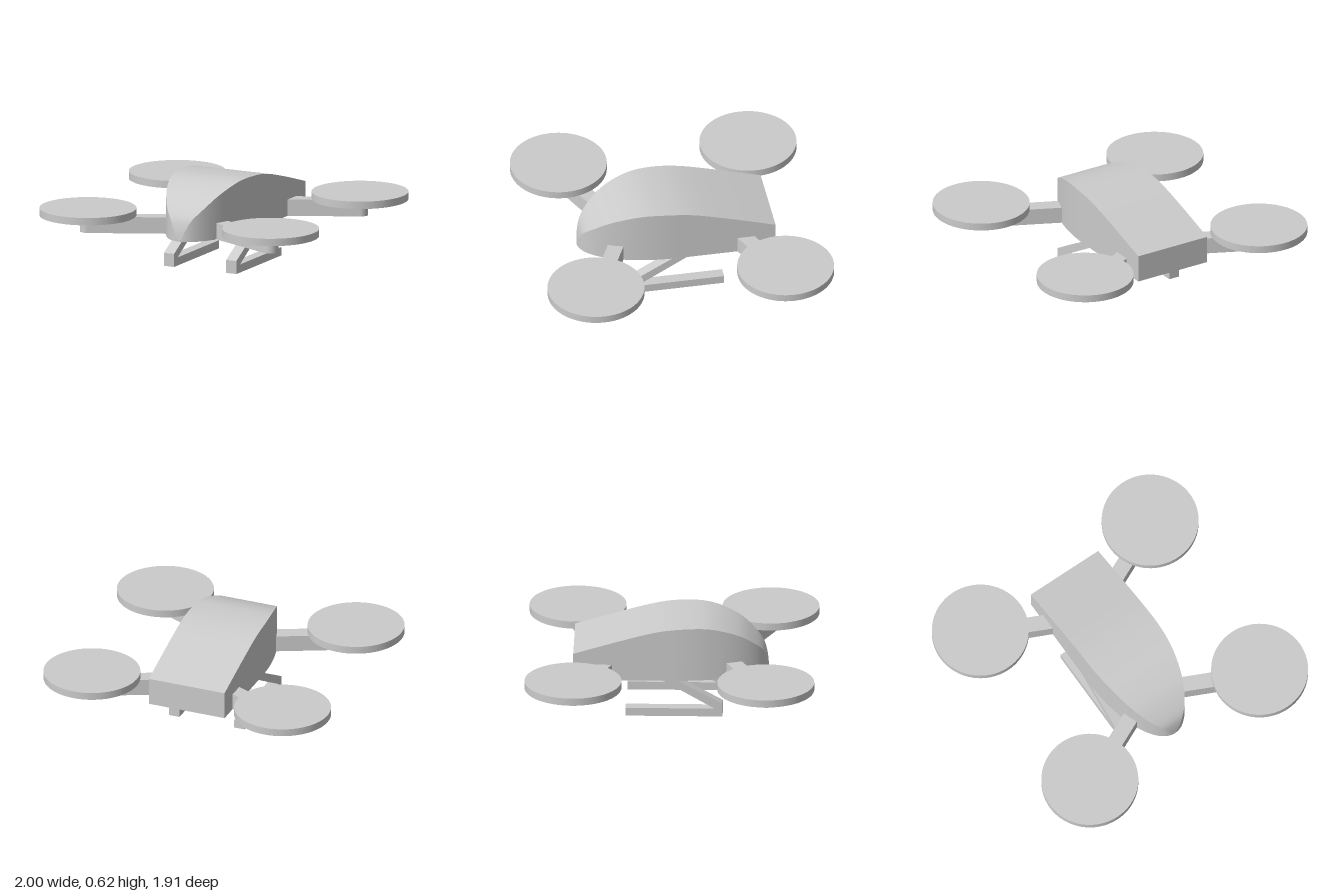
import * as THREE from 'three';

const BASE = 0.25, ARM_TOP = 0.36, NOSE = 0.64, HALF = 0.27;

export function createModel() {
  const model = new THREE.Group();
  const mat = new THREE.MeshStandardMaterial({ color: 0xcccccc, side: THREE.DoubleSide });
  const add = (name, geo, x = 0, y = 0, z = 0) => {
    const mesh = new THREE.Mesh(geo, mat);
    mesh.name = name;
    mesh.position.set(x, y, z);
    model.add(mesh);
    return mesh;
  };

  // Fuselage: flat floor, arched roof line (z, y), elliptical plan at the nose
  const roof = new THREE.SplineCurve([
    [-0.645, 0.435], [-0.33, 0.53], [-0.07, 0.597], [0.14, 0.615], [0.29, 0.6],
    [0.44, 0.545], [0.54, 0.475], [0.605, 0.405], [0.63, 0.335], [NOSE, 0.26],
  ].map(([z, y]) => new THREE.Vector2(z, y)));
  const segs = 72;
  const line = roof.getPoints(segs);
  const body = new THREE.BoxGeometry(2, 1, segs, 1, 1, segs);
  const p = body.attributes.position;
  for (let i = 0; i < p.count; i++) {
    const { x: zr, y: top } = line[Math.round(p.getZ(i) + segs / 2)];
    const z = Math.min(zr, NOSE);
    const c = z > 0 ? Math.sqrt(Math.max(0, 1 - (z / NOSE) ** 2)) : 1;
    p.setXYZ(i, p.getX(i) * Math.max(HALF * c, 0.002), p.getY(i) > 0 ? top : BASE, z);
  }
  body.computeVertexNormals();
  add('fuselage', body);

  // Arm: bar with a rounded outer end, origin at the end's centre, running along -x
  const armShape = new THREE.Shape();
  const r = 0.052, len = 0.62;
  armShape.moveTo(-len, -r);
  armShape.lineTo(0, -r);
  armShape.absarc(0, 0, r, -Math.PI / 2, Math.PI / 2, false);
  armShape.lineTo(-len, r);
  armShape.closePath();
  const arm = new THREE.ExtrudeGeometry(armShape, {
    depth: ARM_TOP - BASE, bevelEnabled: false, curveSegments: 16,
  });
  arm.rotateX(-Math.PI / 2);
  const rotor = new THREE.CylinderGeometry(0.32, 0.32, 0.05, 64);

  // Landing skid profile (z, y): ground rail with a slanted strut
  const skid = new THREE.ExtrudeGeometry(new THREE.Shape([
    [-0.3, 0], [0.34, 0], [0.34, 0.088], [0.05, BASE], [-0.05, BASE], [0.288, 0.055], [-0.3, 0.055],
  ].map(([z, y]) => new THREE.Vector2(z, y))), { depth: 0.076, bevelEnabled: false });
  skid.translate(0, 0, -0.038);
  skid.rotateY(-Math.PI / 2);

  for (const sx of [1, -1]) {
    const side = sx > 0 ? 'left' : 'right';
    for (const sz of [1, -1]) {
      const end = sz > 0 ? 'Front' : 'Back';
      const a = add(`${side}${end}Arm`, arm, sx * 0.68, BASE, sz * 0.638);
      // Turn each arm so it runs from the rotor centre in towards the fuselage
      a.rotation.y = Math.atan2(-sz * 0.423, sx * 0.906);
      add(`${side}${end}Rotor`, rotor, sx * 0.68, ARM_TOP + 0.025, sz * 0.636);
    }
    add(`${side}Skid`, skid, sx * 0.232, 0, 0);
  }
  return model;
}
